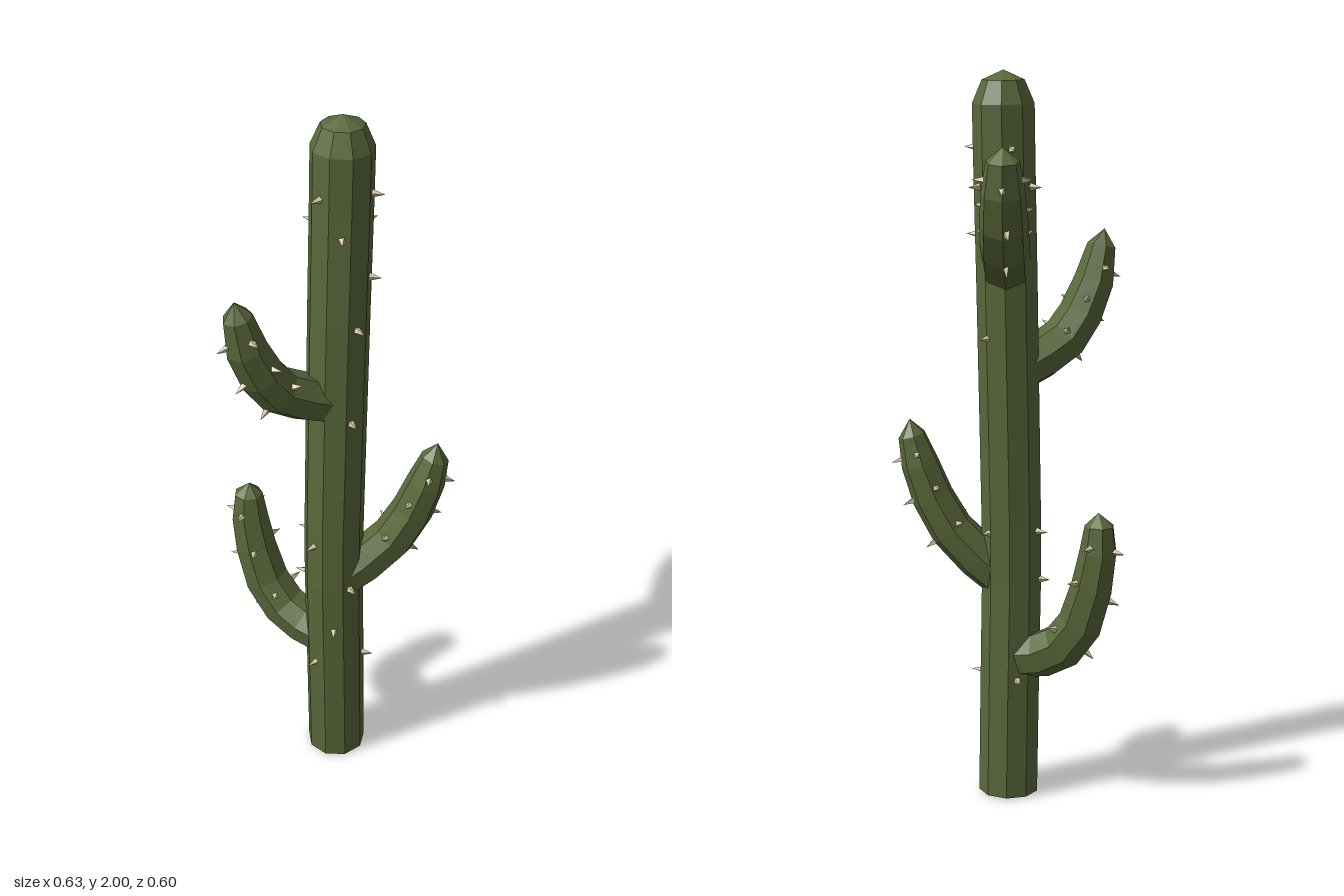
import * as THREE from 'three';

const green = new THREE.MeshStandardMaterial({ color: 0x59683a, flatShading: true });
const tan = new THREE.MeshStandardMaterial({ color: 0xd6c7a0, flatShading: true });
const UP = new THREE.Vector3(0, 1, 0);
const V = (x, y, z) => new THREE.Vector3(x, y, z);
const heading = (deg) => V(Math.sin(deg * Math.PI / 180), 0, Math.cos(deg * Math.PI / 180));

// Frame of a path at point i: tangent, fixed side vector and outward normal
function frame(points, i, side) {
  const a = points[Math.max(i - 1, 0)], b = points[Math.min(i + 1, points.length - 1)];
  const tangent = b.clone().sub(a).normalize();
  return { tangent, normal: side.clone().cross(tangent).normalize() };
}

// Faceted limb: rings along a path, closed below and drawn to a point at the apex
function limb(name, points, radii, apex, sides, side) {
  const pos = [], index = [], n = points.length;
  points.forEach((p, i) => {
    const { normal } = frame(points, i, side);
    for (let j = 0; j < sides; j++) {
      const a = j / sides * Math.PI * 2;
      pos.push(...p.clone().addScaledVector(normal, Math.cos(a) * radii[i])
        .addScaledVector(side, Math.sin(a) * radii[i]).toArray());
    }
  });
  pos.push(...points[0].toArray(), ...apex.toArray());
  for (let j = 0; j < sides; j++) {
    const k = (j + 1) % sides, top = (n - 1) * sides;
    for (let i = 0; i < n - 1; i++) {
      const r = i * sides, s = r + sides;
      index.push(r + j, r + k, s + k, r + j, s + k, s + j);
    }
    index.push(n * sides, k, j, top + j, top + k, n * sides + 1);
  }
  let geo = new THREE.BufferGeometry();
  geo.setAttribute('position', new THREE.Float32BufferAttribute(pos, 3));
  geo.setIndex(index);
  geo = geo.toNonIndexed();
  geo.computeVertexNormals();
  const mesh = new THREE.Mesh(geo, green);
  mesh.name = name;
  return mesh;
}

// Small thorn standing on a surface
const thornGeo = new THREE.ConeGeometry(0.013, 0.04, 4).translate(0, 0.011, 0);
function thorn(position, direction) {
  const mesh = new THREE.Mesh(thornGeo, tan);
  mesh.name = 'thorn';
  mesh.position.copy(position);
  mesh.quaternion.setFromUnitVectors(UP, direction);
  return mesh;
}

// Trunk centre line: bows forward low down and leans back at the top
const trunkPath = [[0, 0.004], [0.3, 0.012], [0.62, 0.022], [0.8, 0.021], [1.1, 0.012],
  [1.45, 0.001], [1.75, -0.01], [1.915, -0.015], [1.975, -0.016]].map(([y, z]) => V(0.03, y, z));

function trunkCentre(y) {
  let i = 0;
  while (i < trunkPath.length - 2 && trunkPath[i + 1].y < y) i++;
  const a = trunkPath[i], b = trunkPath[i + 1];
  return a.clone().lerp(b, (y - a.y) / (b.y - a.y));
}

// Arms: heading in degrees, then [distance from trunk centre, height, radius], then tip
const arms = [
  { name: 'lowerRightArm', deg: -87, tip: [0.272, 0.84],
    path: [[0.03, 0.40, 0.066], [0.1, 0.415, 0.066], [0.165, 0.45, 0.065], [0.222, 0.525, 0.063],
      [0.257, 0.635, 0.058], [0.274, 0.73, 0.052], [0.276, 0.805, 0.04]] },
  { name: 'lowerLeftArm', deg: 121, tip: [0.278, 1.065],
    path: [[0.02, 0.615, 0.062], [0.09, 0.675, 0.064], [0.165, 0.755, 0.062], [0.215, 0.845, 0.059],
      [0.25, 0.94, 0.053], [0.272, 1.02, 0.038]] },
  { name: 'upperBackArm', deg: 211, tip: [0.27, 1.82],
    path: [[0.02, 1.48, 0.066], [0.1, 1.515, 0.066], [0.172, 1.555, 0.066], [0.225, 1.62, 0.064],
      [0.262, 1.705, 0.058], [0.278, 1.785, 0.044]] },
  { name: 'upperFrontArm', deg: -30, tip: [0.292, 1.57],
    path: [[0.02, 1.2, 0.064], [0.1, 1.235, 0.066], [0.17, 1.275, 0.065], [0.22, 1.34, 0.062],
      [0.262, 1.43, 0.056], [0.284, 1.525, 0.04]] },
];

// Thorns on the trunk: height, then headings
const trunkThorns = [[1.8, -13, 107, 227], [1.7, 33, 153, 273], [1.57, 107], [1.44, 68],
  [1.3, 170], [1.165, 60], [0.76, -13, -85, 165], [0.62, 65, -75], [0.475, 30], [0.345, -13, 110, 227]];

// Thorns on each arm: fraction of its length, angle round it from the outer side
const armThorns = [[0.4, 5], [0.42, 125], [0.42, 235], [0.63, 10], [0.66, 115], [0.68, 240],
  [0.86, 0], [0.88, 95], [0.88, 265]];

export function createModel() {
  const model = new THREE.Group();
  model.name = 'cactus';

  // Trunk with a low domed top
  const R = 0.083;
  const radii = trunkPath.map((p, i) => (i === trunkPath.length - 1 ? 0.057 : R));
  model.add(limb('trunk', trunkPath, radii, V(0.03, 2, -0.016), 9, UP.clone().cross(heading(9))));

  const thorns = new THREE.Group();
  thorns.name = 'thorns';
  for (const [y, ...headings] of trunkThorns) {
    for (const deg of headings) {
      const out = heading(deg);
      thorns.add(thorn(trunkCentre(y).addScaledVector(out, R * 0.96), out));
    }
  }

  // Upturned arms with their thorns
  for (const { name, deg, path, tip } of arms) {
    const out = heading(deg), side = UP.clone().cross(out);
    const origin = trunkCentre(path[0][1]).setY(0);
    const at = ([d, y]) => origin.clone().addScaledVector(out, d).setY(y);
    const points = path.map(at);
    model.add(limb(name, points, path.map((p) => p[2]), at(tip), 7, side));

    for (const [t, angle] of armThorns) {
      const f = t * (points.length - 1), i = Math.floor(f), a = angle * Math.PI / 180;
      const j = Math.min(i + 1, points.length - 1);
      const r = THREE.MathUtils.lerp(path[i][2], path[j][2], f - i);
      const normal = frame(points, i, side).normal.lerp(frame(points, j, side).normal, f - i).normalize();
      const dir = normal.multiplyScalar(Math.cos(a)).addScaledVector(side, Math.sin(a));
      thorns.add(thorn(points[i].clone().lerp(points[j], f - i).addScaledVector(dir, r * 0.93), dir));
    }
  }
  model.add(thorns);
  return model;
}
